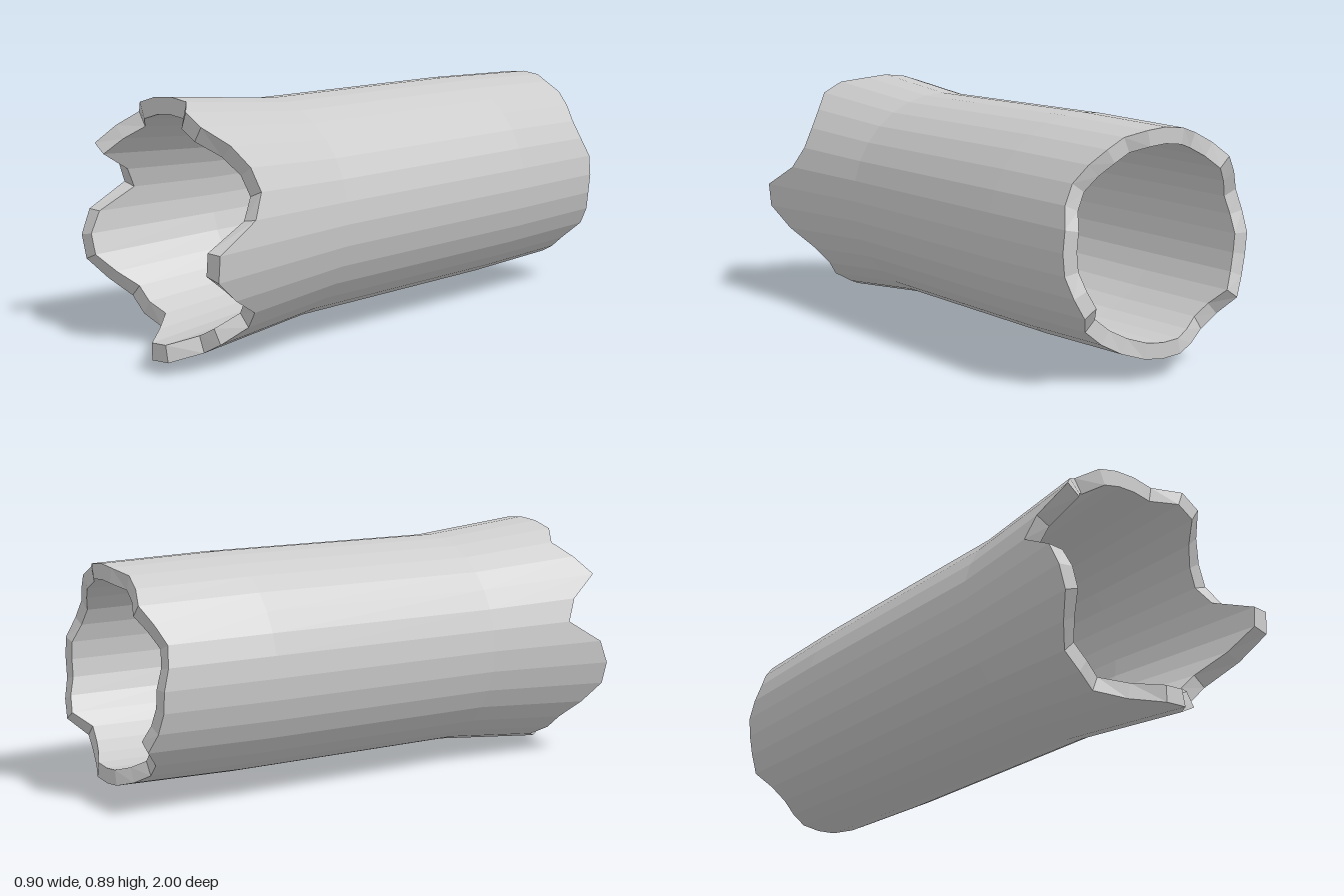
import * as THREE from 'three';

const SIDES = 32;
const CENTRE_Y = 0.452;

// z of the ragged ends, one value per side, counter-clockwise from +x
const FRONT = [
  1.0, 0.83, 0.78, 0.79, 0.83, 0.9, 0.9, 0.83, 0.83, 0.83, 0.83, 0.78, 0.83, 0.88, 0.76, 0.72,
  0.86, 0.9, 0.9, 0.84, 0.78, 0.78, 0.76, 0.84, 0.93, 0.93, 0.84, 0.83, 0.76, 0.78, 0.9, 1.0,
];
const BACK = [
  -0.97, -0.97, -0.94, -0.93, -0.95, -0.97, -0.97, -1, -1, -1, -0.97, -0.98, -1, -0.97, -0.94, -0.95,
  -0.97, -0.97, -0.98, -1, -0.95, -0.94, -0.97, -1, -1, -1, -0.97, -0.95, -0.94, -1, -0.99, -0.97,
];

// Radius along the trunk as [z, outer, inner], flared toward the front
const PROFILE = [[-1, 0.38, 0.326], [-0.55, 0.393, 0.336], [0.38, 0.397, 0.341], [1, 0.459, 0.397]];

function radiusAt(z, column) {
  let k = 0;
  while (k < PROFILE.length - 2 && z > PROFILE[k + 1][0]) k++;
  const a = PROFILE[k], b = PROFILE[k + 1];
  return THREE.MathUtils.mapLinear(z, a[0], b[0], a[column], b[column]);
}

// Closed ring of points; column 1 is the outer wall, 2 the inner wall
function ring(zOf, column) {
  return Array.from({ length: SIDES }, (_, i) => {
    const angle = (i / SIDES) * Math.PI * 2;
    const z = zOf(i);
    const r = radiusAt(z, column);
    return [Math.cos(angle) * r, CENTRE_Y + Math.sin(angle) * r, z];
  });
}

// Skin neighbouring rings with quads
function loft(name, rings, material) {
  const positions = [];
  for (let k = 0; k < rings.length - 1; k++) {
    const a = rings[k], b = rings[k + 1];
    for (let i = 0; i < SIDES; i++) {
      const j = (i + 1) % SIDES;
      positions.push(...a[i], ...b[i], ...b[j], ...a[i], ...b[j], ...a[j]);
    }
  }
  const geometry = new THREE.BufferGeometry();
  geometry.setAttribute('position', new THREE.Float32BufferAttribute(positions, 3));
  geometry.computeVertexNormals();
  const mesh = new THREE.Mesh(geometry, material);
  mesh.name = name;
  return mesh;
}

export function createModel() {
  const group = new THREE.Group();
  group.name = 'hollowLog';
  const material = new THREE.MeshStandardMaterial({ color: 0xcccccc, flatShading: true });

  // Rings from the ragged front to the ragged back
  const stations = [(i) => FRONT[i], () => 0.38, () => -0.55, (i) => BACK[i]];
  const outer = stations.map((s) => ring(s, 1));
  const inner = stations.map((s) => ring(s, 2));

  group.add(
    loft('outerWall', outer, material),
    loft('innerWall', [...inner].reverse(), material),
    loft('frontRim', [inner[0], outer[0]], material),
    loft('backRim', [outer[3], inner[3]], material),
  );
  return group;
}
